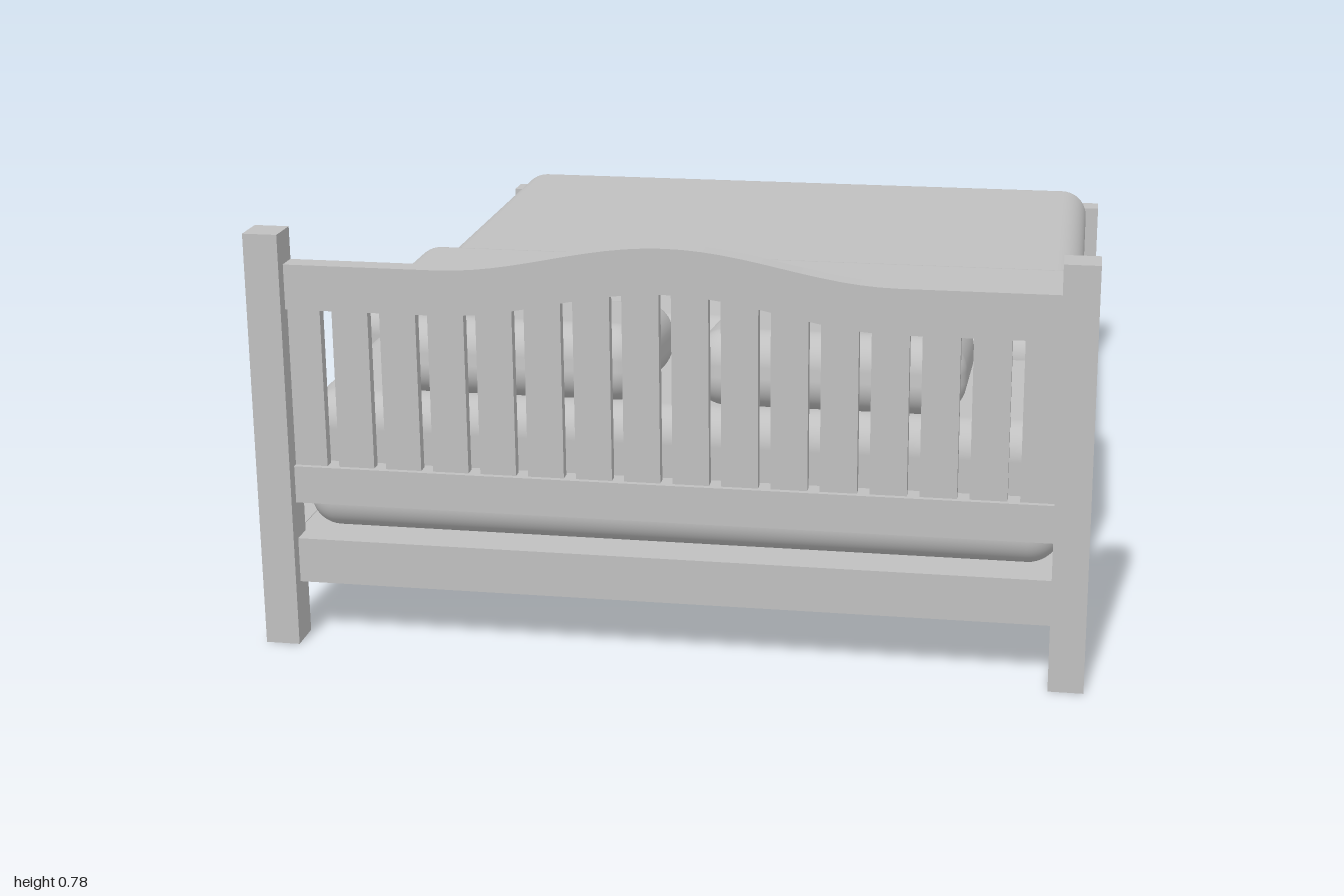
import * as THREE from 'three';
import { RoundedBoxGeometry } from 'three/addons/geometries/RoundedBoxGeometry.js';

export function createModel() {
  const bed = new THREE.Group();
  bed.name = 'bed';
  const grey = new THREE.MeshStandardMaterial({ color: 0xc0c0c0 });
  grey.name = 'plainGrey';

  const add = (name, geometry, parent = bed) => {
    const mesh = new THREE.Mesh(geometry, grey);
    mesh.name = name;
    parent.add(mesh);
    return mesh;
  };
  // Boxes are given by their limits on each axis
  const box = (name, [x0, x1], [y0, y1], [z0, z1], parent) =>
    add(name, new THREE.BoxGeometry(x1 - x0, y1 - y0, z1 - z0), parent)
      .position.set((x0 + x1) / 2, (y0 + y1) / 2, (z0 + z1) / 2);
  const softBox = (name, [x0, x1], [y0, y1], [z0, z1], radius) => {
    const mesh = add(name, new RoundedBoxGeometry(x1 - x0, y1 - y0, z1 - z0, 6, radius));
    mesh.position.set((x0 + x1) / 2, (y0 + y1) / 2, (z0 + z1) / 2);
    return mesh;
  };

  const inner = 0.687;
  const across = [-inner, inner];
  // Evenly spaced slats with a gap on the centre line
  const addSlats = (parent, bottom, topAt, z) => {
    for (let i = 0; i < 16; i++) {
      const x = (i - 7.5) * 0.088;
      box('slat', [Math.max(x - 0.033, -inner), Math.min(x + 0.033, inner)],
        [bottom, topAt(x)], z, parent);
    }
  };

  // Headboard: posts, arched top rail, two straight rails and slats
  const headboard = new THREE.Group();
  headboard.name = 'headboard';
  bed.add(headboard);
  for (const side of [-1, 1]) {
    const x = side * 0.7185;
    box('headPost', [x - 0.0315, x + 0.0315], [0, 0.78], [0.935, 1], headboard);
  }
  const headZ = [0.936, 0.976];
  box('headLowerRail', across, [0.27, 0.34], headZ, headboard);
  box('headBottomRail', across, [0.115, 0.2], headZ, headboard);

  const archHeight = (x) => {
    const t = Math.min(Math.abs(x) / 0.41, 1);
    return 0.72 + 0.055 * (0.5 + 0.5 * Math.cos(Math.PI * t));
  };
  const railDepth = 0.083;
  const arch = [];
  for (let i = 0; i <= 24; i++) {
    const x = -0.41 + (0.82 * i) / 24;
    arch.push([x, archHeight(x)]);
  }
  const line = [[-inner, 0.72], ...arch, [inner, 0.72]];
  const outline = [
    ...line.map(([x, y]) => new THREE.Vector2(x, y - railDepth)),
    ...line.reverse().map(([x, y]) => new THREE.Vector2(x, y)),
  ];
  add('archedTopRail', new THREE.ExtrudeGeometry(new THREE.Shape(outline),
    { depth: 0.04, bevelEnabled: false }), headboard).position.z = 0.936;
  addSlats(headboard, 0.335, (x) => archHeight(x) - railDepth + 0.015, [0.946, 0.966]);

  // Footboard: low frame with short slats
  const footboard = new THREE.Group();
  footboard.name = 'footboard';
  bed.add(footboard);
  for (const side of [-1, 1]) {
    const x = side * 0.7185;
    box('footPost', [x - 0.0315, x + 0.0315], [0, 0.345], [-1, -0.942], footboard);
  }
  box('footTopRail', [-0.75, 0.75], [0.345, 0.42], [-1, -0.942], footboard);
  box('footBottomRail', across, [0.115, 0.205], [-0.99, -0.95], footboard);
  addSlats(footboard, 0.2, () => 0.35, [-0.98, -0.96]);

  // Side rails and sleeping platform
  for (const side of [-1, 1]) {
    const x = side * 0.72;
    box('sideRail', [x - 0.02, x + 0.02], [0.13, 0.2], [-0.945, 0.94]);
  }
  box('platform', [-0.701, 0.701], [0.145, 0.199], [-0.952, 0.937]);

  // Bedding
  softBox('mattress', [-0.69, 0.7], [0.196, 0.46], [-0.92, 0.932], 0.06);
  softBox('blanket', [-0.71, 0.72], [0.15, 0.475], [-0.938, 0.05], 0.06);
  softBox('foldedCover', [-0.73, 0.738], [0.16, 0.51], [-0.03, 0.515], 0.055);

  // Pillows tilt up toward the headboard
  for (const x of [-0.29, 0.28]) {
    softBox('pillow', [x - 0.244, x + 0.244], [0.452, 0.592], [0.582, 0.93], 0.06)
      .rotation.x = -0.11;
  }
  return bed;
}
